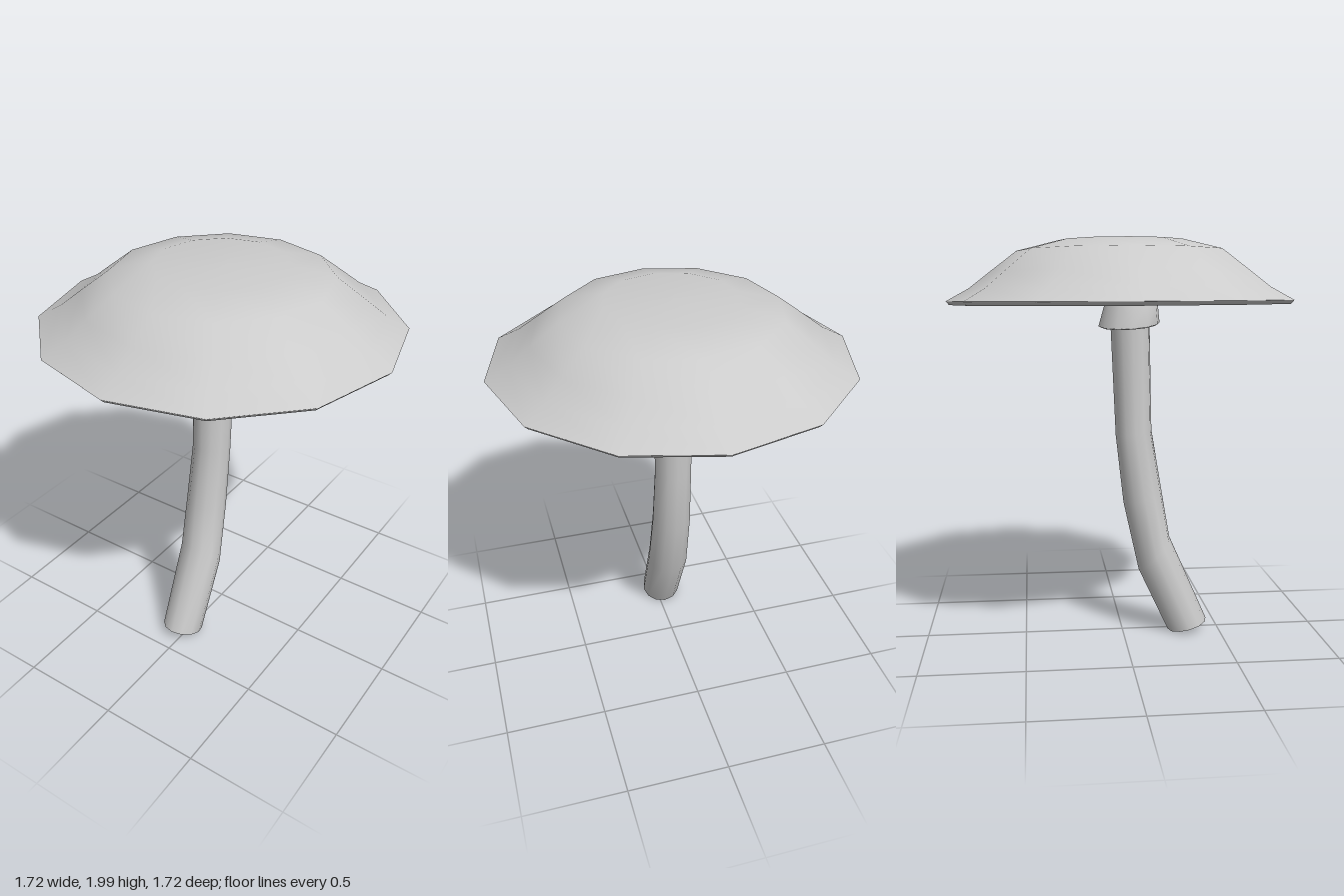
import * as THREE from 'three';

const SIDES = 12;
const material = new THREE.MeshStandardMaterial({ color: 0xcccccc, side: THREE.DoubleSide });

function addMesh(parent, name, geometry) {
  const mesh = new THREE.Mesh(geometry, material);
  mesh.name = name;
  parent.add(mesh);
}

function lathe(points) {
  return new THREE.LatheGeometry(points.map(([r, y]) => new THREE.Vector2(r, y)), SIDES);
}

// Skin tilted elliptical rings: { c: centre, r: half width in x, f: offset to the front edge, t: rise to +x }
function loft(rings) {
  const positions = [], index = [];
  for (const { c, r, f, t = 0 } of rings) {
    for (let i = 0; i < SIDES; i++) {
      const a = (i / SIDES) * Math.PI * 2, s = Math.sin(a), k = Math.cos(a);
      positions.push(c[0] + r * s, c[1] + f[0] * k + t * s, c[2] + f[1] * k);
    }
  }
  for (let j = 0; j < rings.length - 1; j++) {
    for (let i = 0; i < SIDES; i++) {
      const a = j * SIDES + i, b = j * SIDES + ((i + 1) % SIDES);
      index.push(a, b, b + SIDES, a, b + SIDES, a + SIDES);
    }
  }
  const geometry = new THREE.BufferGeometry();
  geometry.setAttribute('position', new THREE.Float32BufferAttribute(positions, 3));
  geometry.setIndex(index);
  geometry.computeVertexNormals();
  return geometry;
}

// Stem ring from its front and back edge points
function edgeRing(x, r, [zf, yf], [zb, yb]) {
  return { c: [x, (yf + yb) / 2, (zf + zb) / 2], r, f: [(yf - yb) / 2, (zf - zb) / 2] };
}

// Copy of a ring, shrunk about its centre and raised
function scaled({ c, r, f, t = 0 }, k, lift = 0) {
  return { c: [c[0], c[1] + lift, c[2]], r: r * k, f: f.map(v => v * k), t: t * k };
}

export function createModel() {
  const group = new THREE.Group();
  group.name = 'mushroom';

  // Cap: faceted dome, thin rim and a conical hollow underneath, leaning back very slightly
  const cap = new THREE.Group();
  cap.name = 'cap';
  cap.rotation.x = -0.005;
  cap.position.z = 0.008;
  group.add(cap);
  addMesh(cap, 'capTop', lathe([
    [0.862, 1.706], [0.75, 1.767], [0.65, 1.844], [0.515, 1.946], [0.315, 1.996], [0, 1.999],
  ]));
  addMesh(cap, 'capUnderside', lathe([[0, 1.815], [0.845, 1.688], [0.862, 1.706]]));

  // Stem: leans forward at the foot, straightens towards the cap, with a shallow dished foot
  const foot = edgeRing(-0.026, 0.103, [0.438, 0.058], [0.237, 0.004]);
  addMesh(group, 'stem', loft([
    scaled(foot, 0, 0.01),
    scaled(foot, 0.75, 0.008),
    foot,
    edgeRing(-0.025, 0.109, [0.241, 0.504], [0.083, 0.334]),
    edgeRing(-0.027, 0.102, [0.2, 0.74], [0.004, 0.69]),
    edgeRing(-0.023, 0.095, [0.146, 1.06], [-0.035, 1.035]),
    edgeRing(-0.017, 0.099, [0.135, 1.59], [-0.06, 1.59]),
    edgeRing(-0.017, 0.095, [0.13, 1.69], [-0.055, 1.69]),
  ]));

  // Collar: flared, tilted ring reaching up into the cap, closed below by a rounded lip
  const lip = { c: [-0.022, 1.59, 0.032], r: 0.149, f: [0.01, 0.152], t: 0.016 };
  addMesh(group, 'collar', loft([
    scaled(lip, 0.62, 0.002),
    scaled(lip, 0.9, -0.008),
    lip,
    { c: [-0.02, 1.69, 0.043], r: 0.118, f: [0, 0.132] },
    { c: [-0.02, 1.81, 0.043], r: 0.088, f: [0, 0.093] },
  ]));

  return group;
}
